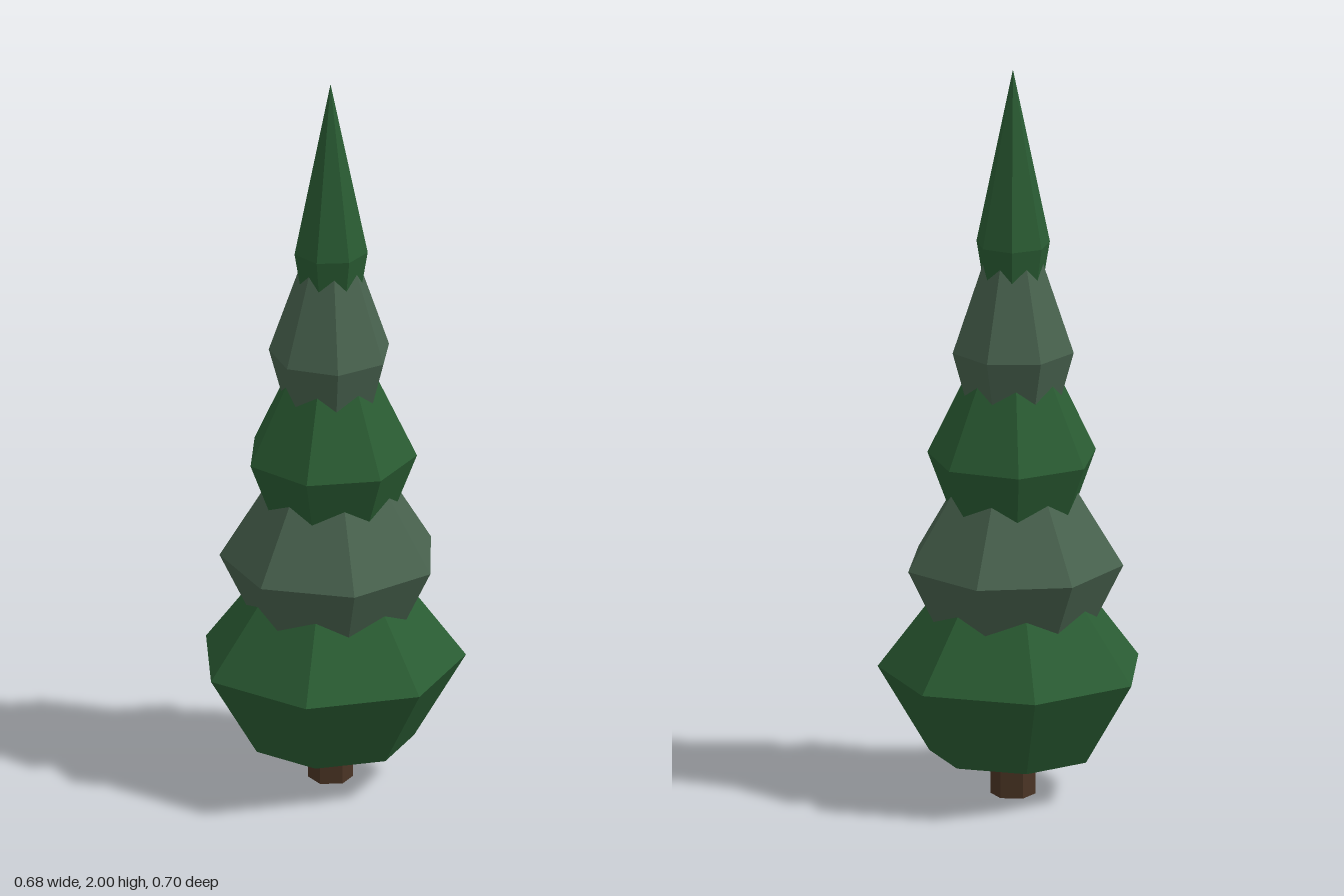
import * as THREE from 'three';

const SIDES = 7;
const TIERS = 5;

export function createModel() {
  const tree = new THREE.Group();
  tree.name = 'pineTree';

  const material = (color, side = THREE.FrontSide) =>
    new THREE.MeshStandardMaterial({ color, flatShading: true, side });
  const greens = [material(0x2a5c33, THREE.DoubleSide), material(0x48624e, THREE.DoubleSide)];

  // Six-sided trunk with a corner towards +x
  const trunkGeometry = new THREE.CylinderGeometry(0.06, 0.06, 0.3, 6, 1, false, Math.PI / 2);
  const trunk = new THREE.Mesh(trunkGeometry, material(0x4a3424));
  trunk.name = 'trunk';
  trunk.position.y = 0.15;
  tree.add(trunk);

  // Foliage tiers: a cone over an inward-sloping skirt, open below,
  // each one smaller and twisted further than the one beneath
  for (let i = 0; i < TIERS; i++) {
    const radius = 0.36 - 0.065 * i;
    const profile = [
      new THREE.Vector2(radius * 0.617, -0.23),
      new THREE.Vector2(radius, 0),
      new THREE.Vector2(0, 0.48),
    ];
    const geometry = new THREE.LatheGeometry(profile, SIDES, Math.PI / 2);
    const tier = new THREE.Mesh(geometry, greens[i % 2]);
    tier.name = `foliageTier${i + 1}`;
    tier.position.y = 0.345 + 0.29375 * i;
    tier.rotation.y = 0.4 * i;
    tree.add(tier);
  }

  // Seven-sided tiers reach further on +x, so shift to centre the outline
  tree.children.forEach((part) => { part.position.x = -0.018; });

  const model = new THREE.Group();
  model.name = 'model';
  model.add(tree);
  return model;
}
